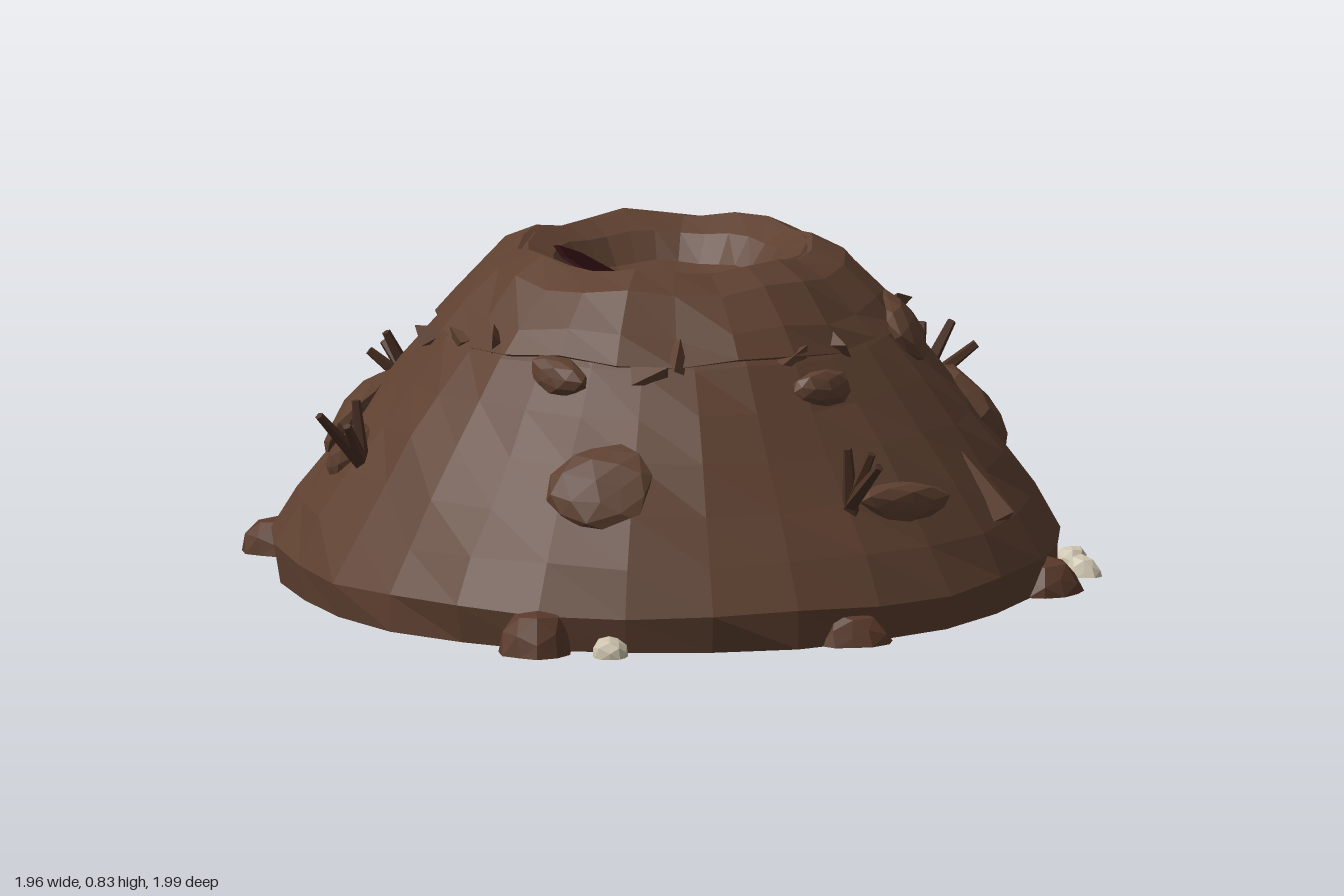
import * as THREE from 'three';

const mat = (name, color, side = THREE.FrontSide) =>
  new THREE.MeshStandardMaterial({ name, color, side, flatShading: true });

// Outer slope of the mound as [radius, height], bottom to top
const SLOPE = [[0.95, 0], [0.965, 0.09], [0.90, 0.2], [0.82, 0.31], [0.735, 0.42], [0.655, 0.52], [0.575, 0.62],
  [0.485, 0.71], [0.41, 0.785], [0.34, 0.815]];
const CRATER = [[0.28, 0.785], [0.235, 0.72], [0.14, 0.685], [0.11, 0.655], [0.06, 0.645], [0, 0.64]];
const CX = -0.02;

// Slope radius at a height
function radiusAt(y) {
  for (let i = 1; i < SLOPE.length; i++) {
    const [r0, y0] = SLOPE[i - 1], [r1, y1] = SLOPE[i];
    if (y <= y1) return r0 + (r1 - r0) * (y - y0) / (y1 - y0);
  }
  return 0.34;
}

// Uneven soil: waves that close around the axis
function roughen(geo, amount) {
  const p = geo.attributes.position;
  for (let i = 0; i < p.count; i++) {
    const x = p.getX(i), y = p.getY(i), z = p.getZ(i);
    const a = Math.atan2(z, x);
    const wave = Math.sin(5 * a + y * 9) * 0.5 + Math.sin(11 * a - y * 17) * 0.5;
    const k = 1 + wave * amount;
    const lift = y > 0.05 ? amount * 0.45 * Math.sin(7 * a + y * 13) * Math.min(1, Math.hypot(x, z) * 3) : 0;
    p.setXYZ(i, x * k, y + lift, z * k * 0.98);
  }
  geo.computeVertexNormals();
  return geo;
}

const lathe = (points, sides) => new THREE.LatheGeometry(points.map(([r, y]) => new THREE.Vector2(r, y)), sides);

// Irregular low-poly stone; seed varies its shape
function stone(seed) {
  const geo = new THREE.IcosahedronGeometry(1, 1);
  const p = geo.attributes.position;
  for (let i = 0; i < p.count; i++) {
    const x = p.getX(i), y = p.getY(i), z = p.getZ(i);
    const k = 0.95 + 0.1 * Math.sin(3 * x + seed * 2.1) * Math.cos(4 * z + seed) + 0.05 * Math.sin(5 * y + seed);
    p.setXYZ(i, x * k, y * k, z * k);
  }
  geo.computeVertexNormals();
  return geo;
}

export function createModel() {
  const model = new THREE.Group();
  const soil = mat('soil', 0x5e4030);
  const clodSoil = mat('clodSoil', 0x5a3a2b);
  const wood = mat('wood', 0x4a3024);
  const pale = mat('paleStone', 0xcfc6b0);
  const dark = mat('darkHole', 0x2a0c0f, THREE.DoubleSide);

  const add = (name, geo, material, parent = model) => {
    const m = new THREE.Mesh(geo, material);
    m.name = name;
    parent.add(m);
    return m;
  };

  // Mound with closed base and crater
  add('mound', roughen(lathe([[0, 0], ...SLOPE, ...CRATER], 28), 0.014), soil).position.x = CX;

  // Crumbling collar overhanging the slope below the rim
  const collar = lathe([[0.5, 0.6], [0.575, 0.635], [0.525, 0.695], [0.44, 0.78], [0.36, 0.818], [0.3, 0.79]], 24);
  add('collar', roughen(collar, 0.025), soil).position.x = CX;

  // Dark burrow mouth leaning on the crater wall
  const hole = add('burrowMouth', new THREE.CylinderGeometry(0.15, 0.16, 0.008, 8), dark);
  hole.position.set(-0.155, 0.735, -0.05);
  hole.quaternion.setFromUnitVectors(new THREE.Vector3(0, 1, 0), new THREE.Vector3(0.45, 0.85, 0.22).normalize());

  // Group lying on the slope: local z points out, local x runs around
  const onSlope = (x, z, y, sink = 0) => {
    const a = Math.atan2(x - CX, z), r = radiusAt(y) - sink;
    const g = new THREE.Group();
    g.position.set(CX + Math.sin(a) * r, y, Math.cos(a) * r * 0.98);
    g.rotation.set(-0.65, a, 0, 'YXZ');
    model.add(g);
    return g;
  };

  // Flattened lumps: x, z direction, height, half width, half length, roll
  const lumps = [
    [-0.58, 0.56, 0.37, 0.14, 0.12, 0.3], [0.15, 0.80, 0.30, 0.14, 0.055, -0.15],
    [0.72, 0.30, 0.38, 0.12, 0.13, 0], [0.60, -0.13, 0.57, 0.17, 0.14, 0],
    [0.78, -0.19, 0.34, 0.15, 0.08, 0.1], [0.56, -0.53, 0.39, 0.15, 0.12, 0.2],
    [-0.02, -0.60, 0.58, 0.22, 0.11, 0], [-0.61, -0.50, 0.38, 0.17, 0.13, -0.1],
    [-0.02, -0.80, 0.36, 0.14, 0.06, 0], [-0.80, -0.28, 0.34, 0.09, 0.08, 0.4],
    [0.45, -0.52, 0.60, 0.10, 0.08, 0.3], [0.42, 0.36, 0.62, 0.12, 0.09, 0.5],
    [0.03, 0.60, 0.56, 0.09, 0.05, 0], [-0.52, 0.30, 0.60, 0.09, 0.05, -0.3],
  ];
  lumps.forEach(([x, z, y, w, l, roll], i) => {
    const m = add('soilLump', stone(i), soil, onSlope(x, z, y, 0.005));
    m.scale.set(w, l, 0.045);
    m.rotation.z = roll;
  });

  // Jagged crumbs along the collar edge
  for (let i = 0; i < 15; i++) {
    const a = i * Math.PI * 2 / 15 + 0.2 * Math.sin(i * 4);
    const g = onSlope(CX + Math.sin(a), Math.cos(a), 0.63 + 0.02 * Math.sin(i * 2.3));
    const m = add('collarCrumb', new THREE.TetrahedronGeometry(0.055), soil, g);
    m.scale.set(1.4, 0.7, 0.65);
    m.rotation.set(i, i * 1.7, 0);
  }

  // Soil ridge down the front left slope
  const ridge = add('soilRidge', new THREE.ConeGeometry(0.05, 0.26, 4), soil, onSlope(0.44, 0.67, 0.3, 0.02));
  ridge.rotation.z = -0.15;

  // Clods around the foot: x, z, half width, half depth, height
  const clods = [
    [0.65, -0.725, 0.095, 0.085, 0.09], [-0.68, -0.725, 0.095, 0.085, 0.09], [-0.12, -0.945, 0.06, 0.05, 0.06],
    [0.05, -0.92, 0.10, 0.08, 0.09], [0.90, -0.29, 0.085, 0.10, 0.09], [0.63, 0.68, 0.10, 0.095, 0.09],
    [-0.07, 0.91, 0.10, 0.085, 0.08], [-0.78, 0.59, 0.10, 0.10, 0.11],
  ];
  // Stones are cut flat where they meet the ground
  const grounded = (name, material, [x, z, w, d, h], seed) => {
    const geo = stone(seed);
    const p = geo.attributes.position;
    for (let i = 0; i < p.count; i++) p.setY(i, Math.max(0, p.getY(i)));
    geo.computeVertexNormals();
    const m = add(name, geo, material);
    m.position.set(x, 0, z);
    m.scale.set(w, h, d);
  };
  clods.forEach((c, i) => grounded('footClod', clodSoil, c, i + 3));

  // Pale pebbles
  [[0.81, 0.565, 0.045, 0.06, 0.05], [0.855, 0.45, 0.045, 0.05, 0.045], [-0.66, 0.73, 0.048, 0.05, 0.05]]
    .forEach((s, i) => grounded('pebble', pale, s, i + 9));

  // Twig tufts: root, then tips relative to the root
  const up = new THREE.Vector3(0, 1, 0);
  const tufts = [
    [[-0.80, 0.33, -0.16], [[-0.12, 0.13, 0], [-0.01, 0.15, -0.01], [-0.06, 0.10, 0.03]]],
    [[0.78, 0.33, -0.13], [[0.12, 0.15, -0.03], [0.05, 0.15, -0.05], [0.13, 0.11, 0.06]]],
    [[-0.01, 0.31, 0.80], [[-0.02, 0.14, 0.02], [0.01, 0.11, 0.11], [0.02, 0.13, 0.06]]],
    [[-0.25, 0.34, -0.77], [[-0.07, 0.14, -0.02], [-0.03, 0.10, -0.09], [-0.09, 0.09, -0.06]]],
  ];
  for (const [root, tips] of tufts) {
    const g = new THREE.Group();
    g.name = 'twigTuft';
    g.position.set(...root);
    model.add(g);
    for (const tip of tips) {
      const v = new THREE.Vector3(...tip);
      const m = add('twig', new THREE.CylinderGeometry(0.011, 0.022, v.length() + 0.03, 5), wood, g);
      m.position.copy(v).multiplyScalar(0.45);
      m.quaternion.setFromUnitVectors(up, v.normalize());
    }
  }
  return model;
}
